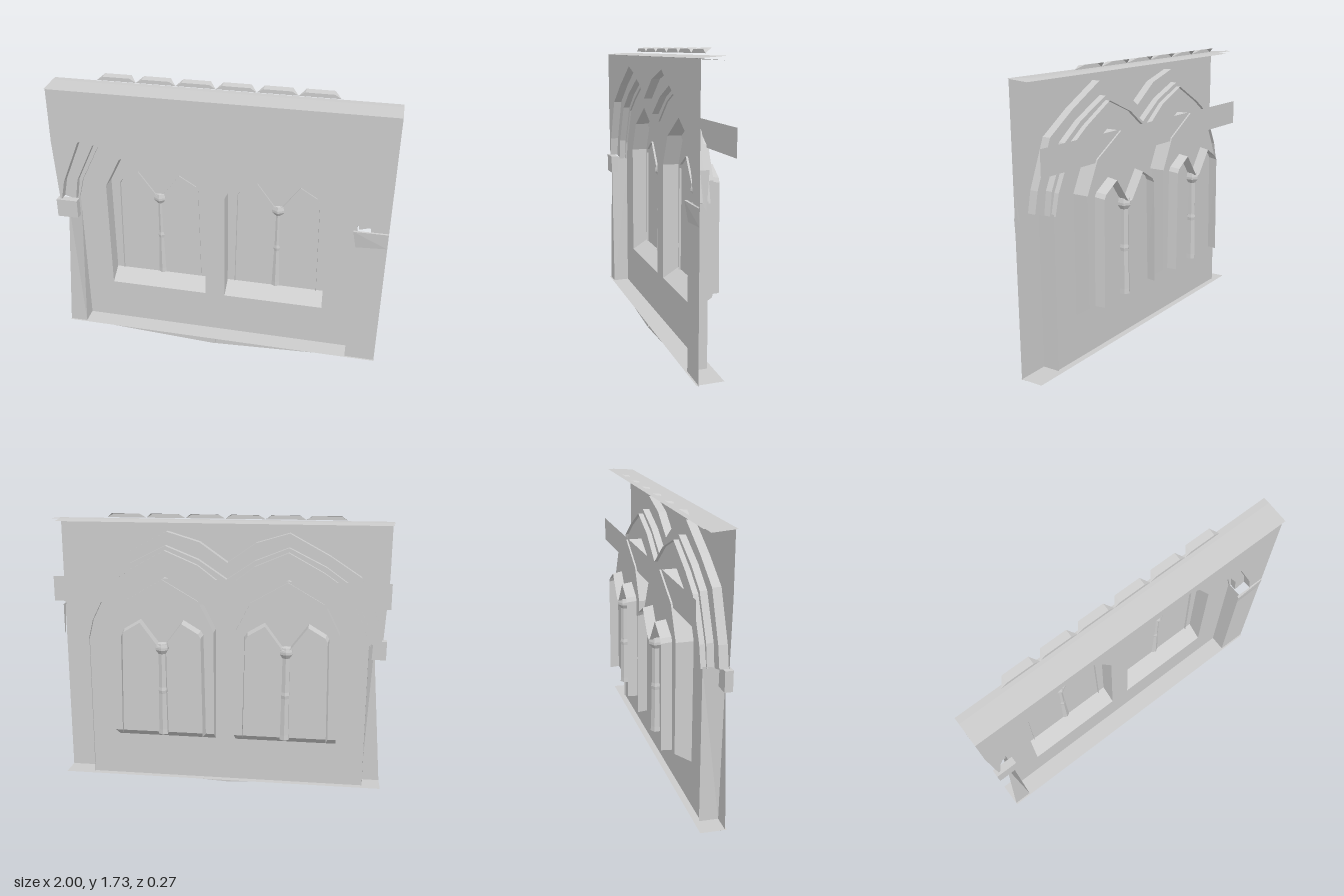
import * as THREE from 'three';

const material = new THREE.MeshStandardMaterial({ color: 0xcccccc, flatShading: true, side: THREE.DoubleSide });
const CX = -0.035;        // axis of the arcade
const BAY = 0.372;        // distance of each window from that axis
const WALL_Z = 0.02;      // recessed wall
const PANE_Z = -0.078;    // back of the windows

const vec = (pts) => pts.map(([x, y]) => new THREE.Vector2(x, y));

function add(parent, name, geometry) {
  const mesh = new THREE.Mesh(geometry, material);
  mesh.name = name;
  parent.add(mesh);
  return mesh;
}

// flat upright sheet with optional holes
function sheet(parent, name, pts, z, holes = []) {
  const shape = new THREE.Shape(vec(pts));
  holes.forEach((h) => shape.holes.push(new THREE.Path(vec(h))));
  return add(parent, name, new THREE.ShapeGeometry(shape).translate(0, 0, z));
}

// strip of quads joining two 3D rows with the same number of points
function strip(parent, name, a, b) {
  const pos = [];
  for (let i = 0; i < a.length - 1; i++) pos.push(...a[i], ...b[i], ...b[i + 1], ...a[i], ...b[i + 1], ...a[i + 1]);
  const g = new THREE.BufferGeometry();
  g.setAttribute('position', new THREE.Float32BufferAttribute(pos, 3));
  g.computeVertexNormals();
  return add(parent, name, g);
}

const atZ = (pts, z) => pts.map(([x, y]) => [x, y, z]);
const reveal = (parent, name, pts, z0, z1) => strip(parent, name, atZ(pts, z0), atZ(pts, z1));

// half outline (first point on the axis) mirrored into a left-to-right row
function mirrored(half, cx) {
  const left = half.slice(1).reverse().map(([d, y]) => [cx - d, y]);
  return [...left, ...half.map(([d, y]) => [cx + d, y])];
}

// pointed window head on straight jambs
const windowOutline = (cx, bottom) => mirrored([[0, 1.355], [0.216, 1.23], [0.31, 1.045], [0.31, bottom]], cx);

function box(parent, name, x0, x1, y0, y1, z0, z1) {
  const g = new THREE.BoxGeometry(x1 - x0, y1 - y0, z1 - z0);
  return add(parent, name, g.translate((x0 + x1) / 2, (y0 + y1) / 2, (z0 + z1) / 2));
}

// one recessed window with two pointed lights and a middle colonnette
function createWindow(cx) {
  const win = new THREE.Group();
  win.name = 'window';
  const pane = windowOutline(cx, 0.4);
  strip(win, 'windowReveal', atZ(windowOutline(cx, 0.338), WALL_Z), atZ(pane, PANE_Z));
  sheet(win, 'pane', pane, PANE_Z);
  strip(win, 'sill', [[cx - 0.31, 0.338, WALL_Z], [cx - 0.31, 0.4, PANE_Z]], [[cx + 0.31, 0.338, WALL_Z], [cx + 0.31, 0.4, PANE_Z]]);

  // thin moulding around the two lights, passing through the pane
  const front = mirrored([[0, 0.965], [0.02, 0.97], [0.13, 1.118], [0.235, 1.055], [0.25, 1.03], [0.262, 0.4]], cx);
  const back = mirrored([[0, 0.96], [0.02, 0.965], [0.125, 1.105], [0.225, 1.045], [0.24, 1.02], [0.25, 0.4]], cx);
  strip(win, 'lightMoulding', atZ(front, -0.065), atZ(back, -0.138));

  // slender colonnette with capital
  const profile = vec([[0.032, 0.4], [0.03, 0.43], [0.026, 0.66], [0.029, 0.68],
    [0.025, 0.7], [0.024, 0.91], [0.042, 0.935], [0.042, 0.95], [0.034, 0.975], [0, 0.98]]);
  add(win, 'colonnette', new THREE.LatheGeometry(profile, 6)).position.set(cx, 0, -0.095);
  return win;
}

// tapered crest piece: front face, top face and two cheeks
function createCrest(x0, x1) {
  const crest = new THREE.Group();
  crest.name = 'crestPiece';
  const end = (x, inset) => [[x, 1.71, -0.02], [x + inset, 1.732, -0.02], [x + inset, 1.738, -0.065]];
  const a = end(x0, 0.037), b = end(x1, -0.037);
  strip(crest, 'crestFaces', a, b);
  for (const [p, q, r] of [a, b]) strip(crest, 'crestCheek', [p, p], [q, r]);
  return crest;
}

export function createModel() {
  const model = new THREE.Group();
  model.name = 'archedWallPanel';

  // three stepped twin arches, outermost first
  const outer = mirrored([[0, 1.44], [0.17, 1.56], [0.37, 1.62], [0.61, 1.49], [0.8, 1.365], [0.91, 1.1], [0.935, 0.98]], CX);
  const middle = mirrored([[0, 1.345], [0.17, 1.46], [0.37, 1.54], [0.59, 1.43], [0.73, 1.33], [0.845, 1.09], [0.865, 0.96]], CX);
  const inner = mirrored([[0, 1.3], [0.17, 1.43], [0.37, 1.515], [0.58, 1.4], [0.71, 1.31], [0.825, 1.08], [0.855, 0.96]], CX);
  const jambL = CX - 0.855, jambR = CX + 0.855;

  // front wall with the arcade cut out; its left pier tapers upwards
  sheet(model, 'frontWall', [[-1, 0.06], [jambL, 0.06], [-0.925, 0.86], [-0.93, 0.98], ...outer, [jambR, 0.98], [jambR, 0.06],
    [1, 0.06], [1, 1.69], [-1, 1.69], [-1, 1.36], [-0.98, 0.98], [-0.935, 0.86]], 0.12);

  // stepped arch mouldings
  reveal(model, 'outerArchReveal', outer, 0.12, 0.07);
  strip(model, 'outerArchFace', atZ(outer, 0.07), atZ(middle, 0.07));
  reveal(model, 'middleArchReveal', middle, 0.07, 0.03);
  strip(model, 'middleArchFace', atZ(middle, 0.03), atZ(inner, 0.03));
  reveal(model, 'innerArchReveal', inner, 0.03, 0);

  // jambs below the springing
  strip(model, 'leftJamb', [[jambL, 0.06, 0.12], [-0.93, 0.97, 0.12]], [[jambL, 0.06, 0.01], [jambL, 0.97, 0.01]]);
  strip(model, 'rightJamb', [[jambR, 0.06, 0.12], [jambR, 0.97, 0.12]], [[jambR, 0.06, 0.01], [jambR, 0.97, 0.01]]);

  // recessed wall with two windows
  const centres = [CX - BAY, CX + BAY];
  sheet(model, 'recessedWall', [[jambL, 0.06], ...inner, [jambR, 0.06]], WALL_Z, centres.map((cx) => windowOutline(cx, 0.338)));
  for (const cx of centres) model.add(createWindow(cx));

  // impost blocks at the springing
  box(model, 'leftImpost', -1, -0.87, 0.865, 0.98, 0.09, 0.135);
  strip(model, 'rightImpost',
    [[0.8, 0.98, 0.12], [0.8, 0.98, 0.135], [0.82, 0.87, 0.12]],
    [[1, 0.98, 0.12], [1, 0.975, 0.125], [1, 0.88, 0.12]]);
  strip(model, 'rightSpringer', [[0.995, 1.16, 0.12], [0.995, 1.16, 0.07]], [[1, 0.98, 0.1], [1, 0.96, 0.085]]);

  // long band closing the window heads
  sheet(model, 'rearBand', [[-1, 1.21], [1, 1.21], [1, 1.36], [-1, 1.36]], -0.068);

  // cornice: two thin sheets meeting at the front edge
  const row = (x, pts) => pts.map(([y, z]) => [x, y, z]);
  const cornice = [[1.7, -0.04], [1.7, 0], [1.69, 0.134], [1.68, 0]];
  strip(model, 'cornice', row(-1, cornice), row(1, cornice));

  // base ledge with a shallow sagging edge and a small peg
  const ledge = [[0.07, -0.02], [0.065, 0.13]];
  strip(model, 'baseLedge', row(-1, ledge), row(1, ledge));
  sheet(model, 'baseEdge', [[-1, 0.055], [CX, 0.005], [1, 0.06]], 0.1);
  box(model, 'basePeg', CX - 0.022, CX + 0.022, 0.015, 0.05, 0.085, 0.105);

  // row of crest pieces above the cornice
  const pitch = 0.2333;
  for (let i = 0; i < 6; i++) model.add(createCrest(-0.735 + i * pitch, -0.735 + (i + 1) * pitch));
  return model;
}
